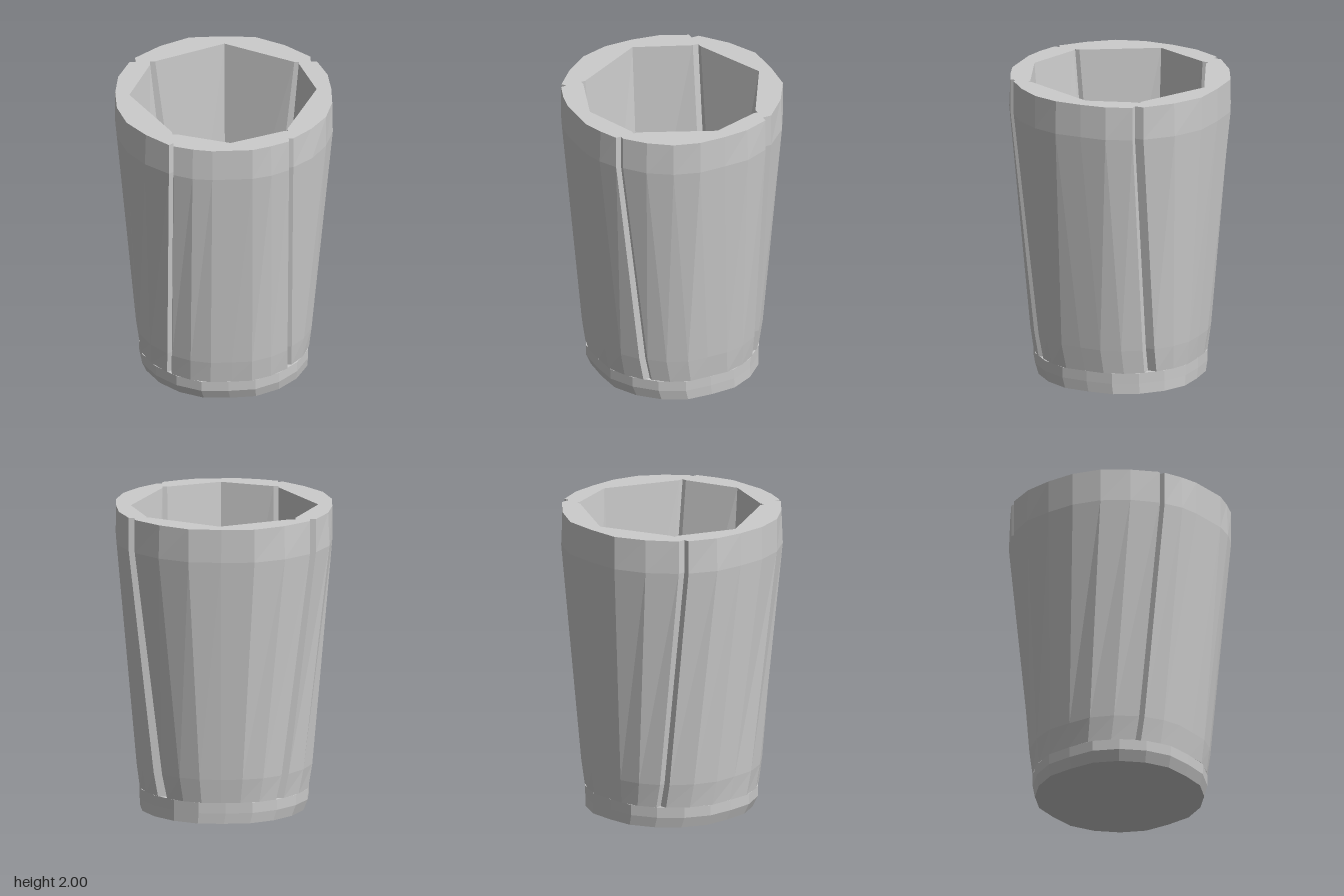
import * as THREE from 'three';

const FLOOR = 0.14;
const material = new THREE.MeshStandardMaterial({ color: 0xcccccc, flatShading: true, side: THREE.DoubleSide });

// Skin between stacked rings of [x, z]; counter-clockwise from above faces outwards
function loft(rings, heights) {
  const pos = [];
  for (let k = 0; k < rings.length - 1; k++) {
    const lo = rings[k], hi = rings[k + 1], n = lo.length;
    for (let i = 0; i < n; i++) {
      const j = (i + 1) % n;
      const a = [lo[i][0], heights[k], lo[i][1]], b = [lo[j][0], heights[k], lo[j][1]];
      const c = [hi[j][0], heights[k + 1], hi[j][1]], d = [hi[i][0], heights[k + 1], hi[i][1]];
      pos.push(...a, ...b, ...c, ...a, ...c, ...d);
    }
  }
  const geo = new THREE.BufferGeometry();
  geo.setAttribute('position', new THREE.Float32BufferAttribute(pos, 3));
  geo.computeVertexNormals();
  return geo;
}

// Flat horizontal face from an outline, with an optional hole
function cap(outline, y, hole, down = false) {
  const toVec = (ring) => ring.map(([x, z]) => new THREE.Vector2(x, -z));
  const shape = new THREE.Shape(toVec(outline));
  if (hole) shape.holes.push(new THREE.Path(toVec(hole)));
  const geo = new THREE.ShapeGeometry(shape).rotateX(-Math.PI / 2).translate(0, y, 0);
  if (down) {
    const idx = geo.index.array;
    for (let i = 0; i < idx.length; i += 3) [idx[i], idx[i + 1]] = [idx[i + 1], idx[i]];
    geo.computeVertexNormals();
  }
  return geo;
}

// Faceted arc, flattened a little on the four sides; odd points can be pulled in
function arc(r, from, to, n = 6, pull = 0) {
  const flat = 0.97 * r, pts = [];
  for (let i = 0; i <= n; i++) {
    const a = from + (to - from) * i / n;
    const s = r * (i % 2 ? 1 - pull : 1);
    pts.push([s * Math.sin(a), s * Math.cos(a)].map((v) => THREE.MathUtils.clamp(v, -flat, flat)));
  }
  return pts;
}

// Outer outline: four curved staves that meet in stepped grooves on fixed planes
function staves(r, pull) {
  const last = (p) => p[p.length - 1];
  const front = arc(r, Math.asin(-0.36 / r), Math.asin(0.39 / r), 6, pull);
  const right = arc(r, Math.asin(0.42 / r), Math.acos(-0.36 / r), 6, pull);
  right[0][1] -= 0.015;
  const back = arc(r, Math.acos(-0.42 / r), 2 * Math.PI - Math.acos(-(0.42 + 0.07 * r) / r), 6, pull);
  const left = arc(r, -Math.acos(-0.42 / r), Math.asin(-0.39 / r), 6, pull);
  return [
    ...front, [0.39, right[0][1]],
    ...right, [back[0][0], -0.36],
    ...back, [last(back)[0], -0.42],
    ...left, [-0.36, last(left)[1] - 0.02],
  ];
}

export function createModel() {
  const group = new THREE.Group();
  const add = (name, geo) => {
    const mesh = new THREE.Mesh(geo, material);
    mesh.name = name;
    group.add(mesh);
  };

  // Tapered outer wall with a chamfered lip
  const outer = [staves(0.565, 0), staves(0.587, 0), staves(0.722, 0), staves(0.722, 0.012)];
  add('outerWall', loft(outer, [FLOOR, 0.3, 1.78, 2]));

  // Angular inner wall
  const innerTop = [
    [0.04, -0.61], [0.48, -0.36], [0.51, -0.36], [0.51, -0.33], [0.605, -0.02], [0.39, 0.45], [0.39, 0.48],
    [0.36, 0.48], [0.01, 0.605], [-0.33, 0.48], [-0.36, 0.48], [-0.36, 0.45], [-0.61, -0.02],
    [-0.455, -0.38], [-0.455, -0.42], [-0.42, -0.42],
  ];
  const innerBottom = [
    [0.04, -0.49], [0.29, -0.36], [0.36, -0.36], [0.36, -0.3], [0.48, -0.02], [0.39, 0.26], [0.39, 0.3],
    [0.35, 0.3], [0.01, 0.48], [-0.33, 0.325], [-0.36, 0.325], [-0.36, 0.29], [-0.485, -0.02],
    [-0.27, -0.38], [-0.27, -0.42], [-0.2, -0.42],
  ];
  add('innerWall', loft([innerBottom, innerTop], [FLOOR, 2]));
  add('rim', cap(outer[3], 2, innerTop));

  // Base slab, its top doubling as the floor of the cup
  const ring = (r, shift) => arc(r, 0, 2 * Math.PI * 19 / 20, 19).map(([x, z]) => [x + shift, z - shift]);
  const foot = ring(0.549, 0.012), baseTop = ring(0.567, 0);
  add('base', loft([foot, ring(0.566, 0), baseTop], [0, 0.07, FLOOR]));
  add('floor', cap(baseTop, FLOOR));
  add('underside', cap(foot, 0, null, true));
  return group;
}
